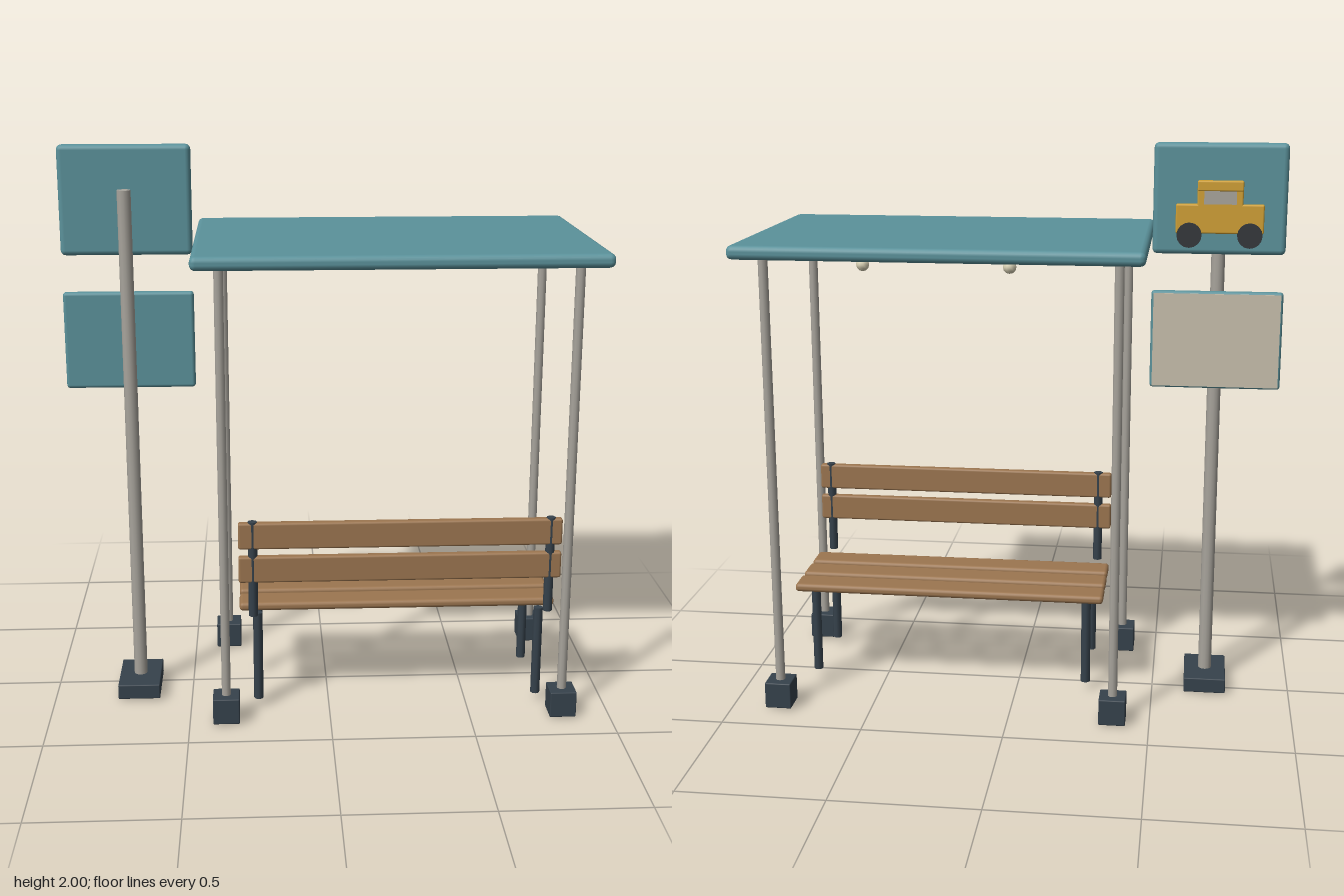
import * as THREE from 'three';
import { RoundedBoxGeometry } from 'three/addons/geometries/RoundedBoxGeometry.js';

function material(name, color) {
  const m = new THREE.MeshStandardMaterial({ color });
  m.name = name;
  return m;
}

export function createModel() {
  const teal = material('teal', 0x5b929b);
  const wood = material('wood', 0x9c7650);
  const metal = material('metal', 0xa8a49c);
  const dark = material('dark steel', 0x36424c);
  const cream = material('cream panel', 0xc8bfac);
  const gold = material('gold', 0xd0a034);
  const bulbColor = material('bulb', 0xddd5b8);
  const rubber = material('rubber', 0x33363a);

  const model = new THREE.Group();
  model.name = 'busStop';
  const group = (name) => {
    const g = new THREE.Group();
    g.name = name;
    model.add(g);
    return g;
  };
  const place = (parent, name, geometry, mat, x, y, z) => {
    const mesh = new THREE.Mesh(geometry, mat);
    mesh.name = name;
    mesh.position.set(x, y, z);
    parent.add(mesh);
    return mesh;
  };
  // Rounded box given by its lower and upper limits on each axis
  const slab = (parent, name, mat, [x0, x1], [y0, y1], [z0, z1], r) =>
    place(parent, name, new RoundedBoxGeometry(x1 - x0, y1 - y0, z1 - z0, 2, r), mat,
      (x0 + x1) / 2, (y0 + y1) / 2, (z0 + z1) / 2);
  const pole = (parent, name, mat, r, x, z, y0, y1, sides = 10) =>
    place(parent, name, new THREE.CylinderGeometry(r, r, y1 - y0, sides), mat, x, (y0 + y1) / 2, z);

  // Shelter: roof, four posts on footings, two bulbs
  const shelter = group('shelter');
  slab(shelter, 'roof', teal, [-0.46, 0.92], [1.637, 1.685], [-0.458, 0.458], 0.02);
  for (const x of [-0.37, 0.83]) {
    for (const z of [-0.33, 0.333]) {
      pole(shelter, 'post', metal, 0.0165, x, z, 0, 1.645);
      slab(shelter, 'footing', dark, [x - 0.047, x + 0.047], [0.005, 0.1], [z - 0.047, z + 0.047], 0.004);
    }
  }
  for (const x of [0, 0.5]) {
    place(shelter, 'bulb', new THREE.SphereGeometry(0.023, 10, 6), bulbColor, x, 1.604, -0.275);
  }

  // Bench: three seat slats, two back slats, legs and back supports
  const bench = group('bench');
  const length = [-0.32, 0.815];
  for (const z of [0.163, 0.032, -0.098]) {
    slab(bench, 'seatSlat', wood, length, [0.365, 0.396], [z - 0.053, z + 0.053], 0.013);
  }
  for (const y of [0.558, 0.682]) {
    slab(bench, 'backSlat', wood, length, [y - 0.048, y + 0.048], [0.278, 0.308], 0.008);
  }
  for (const x of [-0.27, 0.775]) {
    pole(bench, 'backSupport', dark, 0.0165, x, 0.293, 0.383, 0.733, 8);
  }
  for (const x of [-0.255, 0.755]) {
    for (const z of [0.23, -0.076]) pole(bench, 'leg', dark, 0.017, x, z, 0.035, 0.368, 8);
  }

  // Sign post with two boards
  const sign = group('signPost');
  const cx = -0.693;
  pole(sign, 'signPole', metal, 0.024, cx, 0.05, 0, 1.85, 12);
  slab(sign, 'signFooting', dark, [cx - 0.076, cx + 0.076], [0.005, 0.06], [-0.064, 0.164], 0.004);
  slab(sign, 'upperBoard', teal, [-0.921, -0.465], [1.62, 2], [-0.022, 0.022], 0.018);
  slab(sign, 'lowerBoard', teal, [-0.921, -0.465], [1.145, 1.49], [-0.016, 0.016], 0.012);
  place(sign, 'timetablePanel', new THREE.BoxGeometry(0.44, 0.33, 0.006), cream, cx, 1.3175, -0.0155);

  // Car emblem on the rear of the upper board
  const car = group('carEmblem');
  slab(car, 'carBody', gold, [cx - 0.15, cx + 0.15], [1.695, 1.795], [-0.045, -0.02], 0.006);
  slab(car, 'carCabin', gold, [cx - 0.078, cx + 0.078], [1.78, 1.875], [-0.045, -0.02], 0.006);
  slab(car, 'carRoof', gold, [cx - 0.078, cx + 0.078], [1.84, 1.875], [-0.052, -0.03], 0.005);
  place(car, 'carWindow', new THREE.BoxGeometry(0.11, 0.045, 0.006), metal, cx, 1.818, -0.046);
  for (const side of [-1, 1]) {
    const wheel = place(car, 'carWheel', new THREE.CylinderGeometry(0.043, 0.043, 0.033, 16),
      rubber, cx + side * 0.103, 1.69, -0.0365);
    wheel.rotation.x = Math.PI / 2;
  }

  return model;
}
